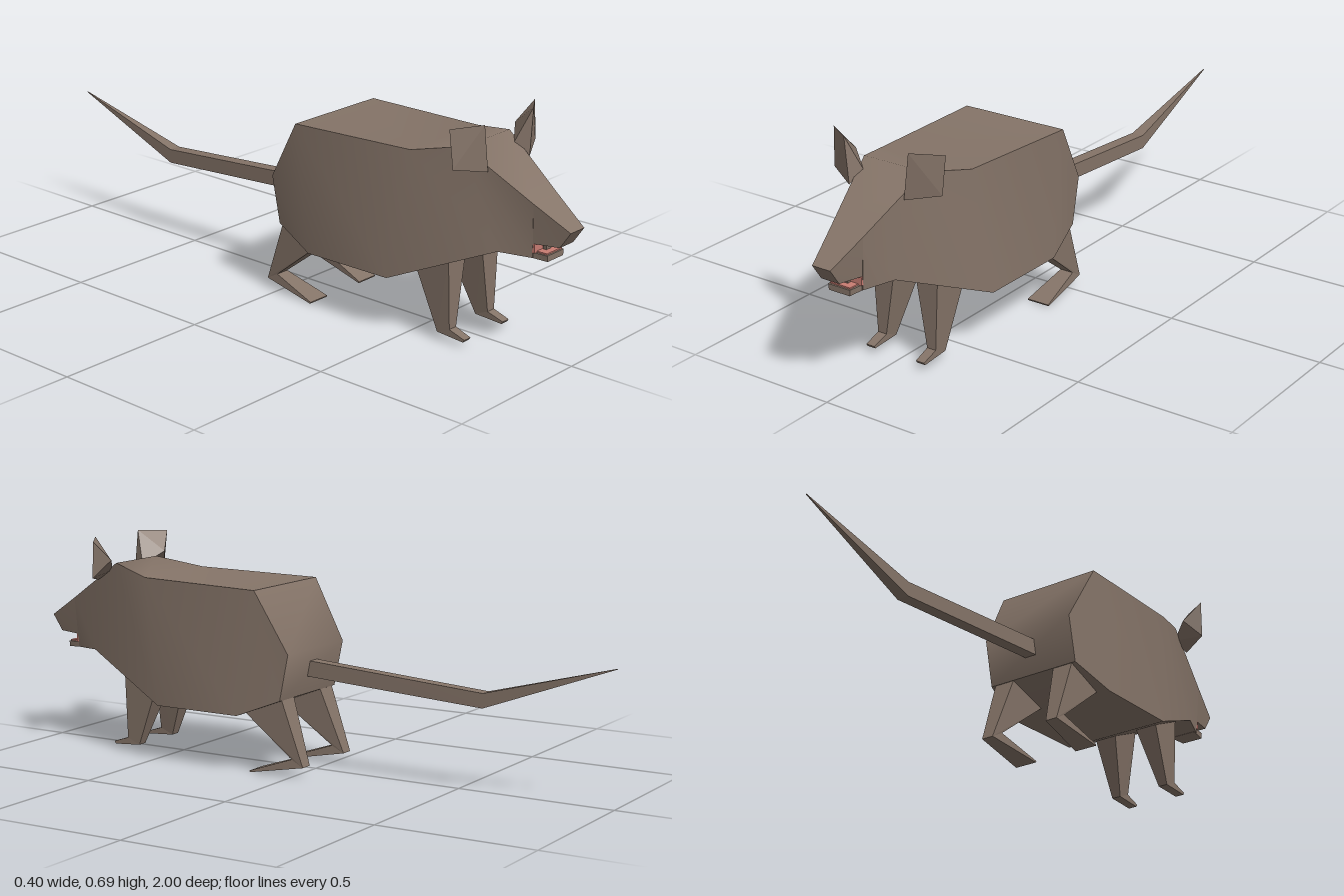
import * as THREE from 'three';
import { toCreasedNormals } from 'three/addons/utils/BufferGeometryUtils.js';
import { ConvexGeometry } from 'three/addons/geometries/ConvexGeometry.js';

// Skin four-cornered sections, ordered from back to front.
// Each section: [zTop, yTop, halfWidthTop, zBottom, yBottom, halfWidthBottom]
function loft(sections, crease = 0.8) {
  const rings = sections.map(([zt, yt, wt, zb, yb, wb]) => [
    [wt, yt, zt], [-wt, yt, zt], [-wb, yb, zb], [wb, yb, zb],
  ]);
  const pos = [];
  const quad = (a, b, c, d) => pos.push(...a, ...b, ...c, ...a, ...c, ...d);
  for (let i = 0; i < rings.length - 1; i++) {
    for (let j = 0; j < 4; j++) {
      const k = (j + 1) % 4;
      quad(rings[i][j], rings[i][k], rings[i + 1][k], rings[i + 1][j]);
    }
  }
  quad(...[...rings[0]].reverse());
  quad(...rings[rings.length - 1]);
  const g = new THREE.BufferGeometry();
  g.setAttribute('position', new THREE.Float32BufferAttribute(pos, 3));
  return toCreasedNormals(g, crease);
}

// Faceted solid around a few corners; side = 1 is left, -1 is right
function hull(points, side) {
  return new ConvexGeometry(points.map(([x, y, z]) => new THREE.Vector3(x * side, y, z)));
}

// Corners sharing one height and depth, from inner to outer x
const edge = (x0, x1, y, z) => [[x0, y, z], [x1, y, z]];

export function createModel() {
  const model = new THREE.Group();
  const fur = new THREE.MeshStandardMaterial({ color: 0x857468 });
  fur.name = 'brown fur';
  const pink = new THREE.MeshStandardMaterial({ color: 0xc87c72 });
  pink.name = 'mouth pink';

  const add = (name, geometry, material = fur) => {
    const mesh = new THREE.Mesh(geometry, material);
    mesh.name = name;
    model.add(mesh);
    return mesh;
  };

  // Rump, belly, shoulders and head back to the mouth corner
  add('body', loft([
    [0, 0.38, 0.16, 0.03, 0.235, 0.16],
    [0.11, 0.57, 0.177, 0.17, 0.18, 0.187],
    [0.53, 0.577, 0.157, 0.47, 0.18, 0.183],
    [0.68, 0.607, 0.107, 0.79, 0.315, 0.083],
    [0.89, 0.474, 0.058, 0.885, 0.31, 0.046],
  ]));

  // Upper snout and lower jaw leave an open mouth between them
  add('snout', loft([
    [0.89, 0.474, 0.058, 0.885, 0.353, 0.048],
    [1.0, 0.407, 0.032, 0.965, 0.356, 0.032],
  ]));
  add('lowerJaw', loft([
    [0.87, 0.327, 0.046, 0.87, 0.31, 0.046],
    [0.93, 0.325, 0.039, 0.93, 0.307, 0.037],
  ]));

  // Pink mouth lining
  add('mouthBack', new THREE.BoxGeometry(0.096, 0.027, 0.008), pink).position.set(0, 0.3395, 0.888);
  add('tongue', new THREE.BoxGeometry(0.072, 0.004, 0.038), pink).position.set(0, 0.328, 0.907);

  // Front tooth
  add('tooth', loft([
    [0.895, 0.358, 0.015, 0.895, 0.322, 0.01],
    [0.91, 0.358, 0.015, 0.905, 0.322, 0.01],
  ]));

  // Bent, tapering tail
  add('tail', loft([
    [-1, 0.41, 0.001, -1, 0.408, 0.001],
    [-0.585, 0.3, 0.02, -0.585, 0.255, 0.02],
    [0.04, 0.343, 0.02, 0.04, 0.293, 0.02],
  ], 0.3));

  for (const side of [1, -1]) {
    const label = side > 0 ? 'left' : 'right';

    add(label + 'Ear', hull([
      [0.198, 0.682, 0.7], [0.113, 0.687, 0.757], [0.097, 0.547, 0.76],
      [0.192, 0.565, 0.71], [0.08, 0.58, 0.715], [0.143, 0.62, 0.672],
    ], side));

    // Front leg and small paw
    add(label + 'FrontLeg', hull([
      ...edge(0.039, 0.117, 0.26, 0.645), ...edge(0.039, 0.117, 0.215, 0.525),
      ...edge(0.075, 0.106, 0.044, 0.645), ...edge(0.075, 0.106, 0.025, 0.6),
    ], side));
    add(label + 'FrontPaw', hull([
      ...edge(0.075, 0.106, 0.044, 0.645), ...edge(0.075, 0.106, 0.025, 0.6),
      ...edge(0.077, 0.106, 0.026, 0.7), ...edge(0.077, 0.106, 0.018, 0.695),
    ], side));

    // Hind leg slants back to the heel, then a long flat foot points forward
    add(label + 'HindLeg', hull([
      ...edge(0.065, 0.146, 0.19, 0.17), ...edge(0.075, 0.146, 0.245, 0.035),
      ...edge(0.095, 0.14, 0.055, 0), ...edge(0.1, 0.14, 0.033, -0.04),
    ], side));
    add(label + 'HindFoot', hull([
      ...edge(0.095, 0.14, 0.055, 0), ...edge(0.1, 0.14, 0.033, -0.04),
      ...edge(0.075, 0.151, 0.005, 0.147), ...edge(0.075, 0.151, 0, 0.145),
    ], side));
  }

  return model;
}
